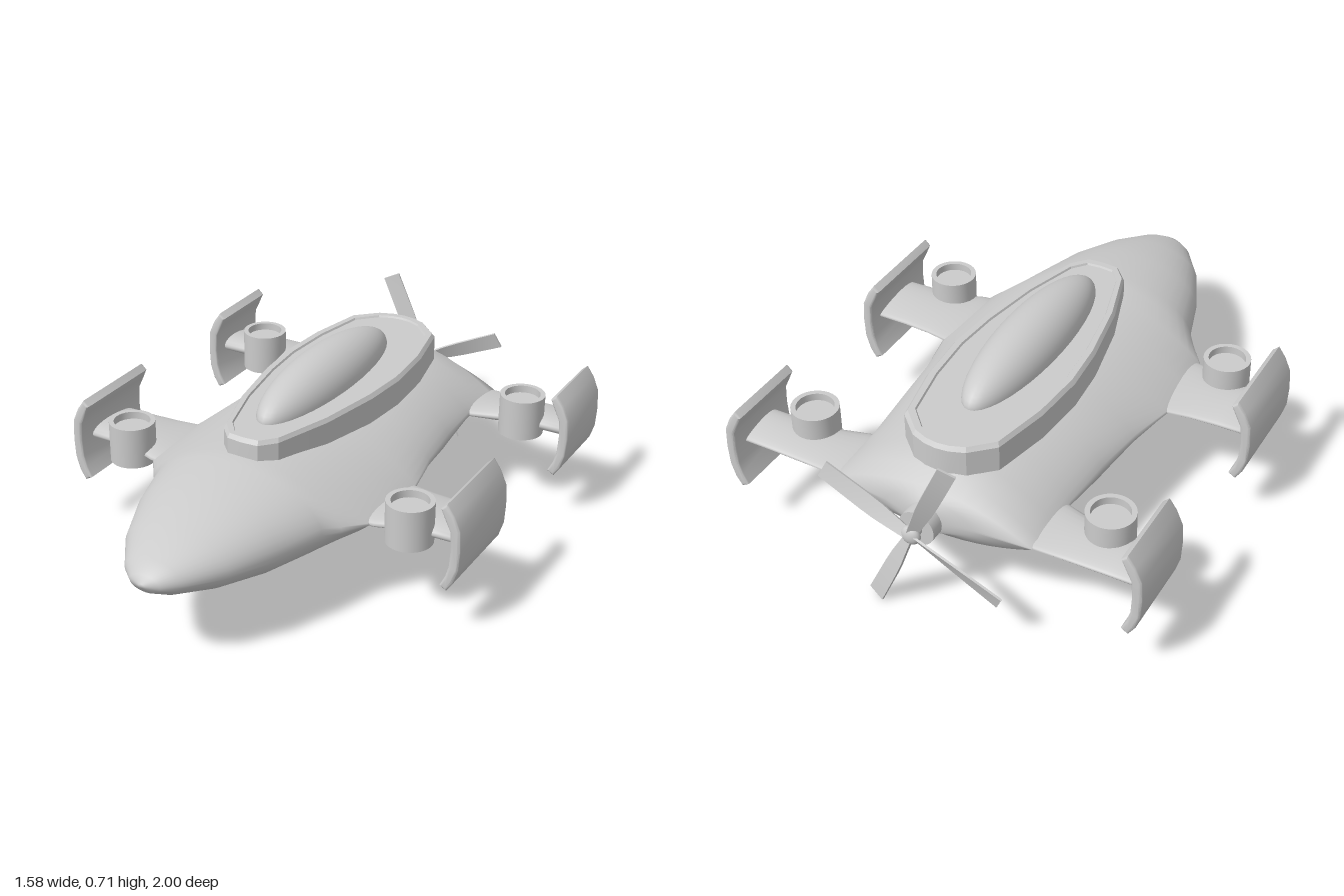
import * as THREE from 'three';
import { toCreasedNormals } from 'three/addons/utils/BufferGeometryUtils.js';

const material = new THREE.MeshStandardMaterial({ color: 0xcccccc });
const AXIS_Y = 0.345;

function add(parent, name, geometry, x = 0, y = 0, z = 0) {
  const mesh = new THREE.Mesh(geometry, material);
  mesh.name = name;
  mesh.position.set(x, y, z);
  parent.add(mesh);
  return mesh;
}

// Skin over closed rings of equal point count, with fan caps at both ends
function loft(rings) {
  const n = rings[0].length, pos = [], idx = [];
  rings.forEach(r => r.forEach(p => pos.push(...p)));
  for (let i = 0; i < rings.length - 1; i++) {
    for (let j = 0; j < n; j++) {
      const a = i * n + j, b = i * n + (j + 1) % n;
      idx.push(a, a + n, b, b, a + n, b + n);
    }
  }
  [rings[0], rings[rings.length - 1]].forEach((ring, end) => {
    const c = pos.length / 3, base = end ? (rings.length - 1) * n : 0;
    pos.push(...[0, 1, 2].map(k => ring.reduce((s, p) => s + p[k], 0) / n));
    for (let j = 0; j < n; j++) {
      const a = base + j, b = base + (j + 1) % n;
      idx.push(...(end ? [c, b, a] : [c, a, b]));
    }
  });
  const g = new THREE.BufferGeometry();
  g.setAttribute('position', new THREE.Float32BufferAttribute(pos, 3));
  g.setIndex(idx);
  g.computeVertexNormals();
  return g;
}

function ring(n, fn) {
  return Array.from({ length: n }, (_, j) => fn(j / n * Math.PI * 2));
}

// Hull stations: z, half width, top, bottom, side sharpness
const STATIONS = [
  [0.998, 0.012, 0.352, 0.338, 1], [0.98, 0.06, 0.377, 0.313, 1], [0.93, 0.115, 0.409, 0.285, 1],
  [0.8, 0.205, 0.455, 0.243, 1], [0.62, 0.285, 0.502, 0.203, 1], [0.44, 0.342, 0.526, 0.177, 1.05],
  [0.38, 0.385, 0.531, 0.169, 1.4], [0.3, 0.445, 0.532, 0.16, 1.9], [0.15, 0.458, 0.532, 0.145, 2],
  [-0.02, 0.462, 0.532, 0.135, 2], [-0.2, 0.425, 0.531, 0.13, 1.5], [-0.4, 0.403, 0.529, 0.135, 1.3],
  [-0.6, 0.387, 0.524, 0.152, 1.6], [-0.72, 0.39, 0.516, 0.18, 1.8], [-0.81, 0.39, 0.495, 0.222, 2],
  [-0.855, 0.38, 0.45, 0.265, 2], [-0.872, 0.17, 0.42, 0.285, 1.3], [-0.895, 0.065, 0.405, 0.295, 1],
];

function hullGeometry() {
  return loft(STATIONS.map(([z, w, top, bottom, p]) => ring(40, a => {
    const s = Math.sin(a);
    const h = s > 0 ? top - AXIS_Y : bottom - AXIS_Y;
    return [w * Math.cos(a), AXIS_Y + h * Math.abs(s) ** p, z];
  })));
}

// Raised deck: faceted egg outline, bevelled rim and shallow inner panel
function deckGeometry() {
  const half = [[0, 0.395], [0.06, 0.39], [0.11, 0.335], [0.18, 0.12], [0.225, -0.12], [0.24, -0.3],
    [0.225, -0.5], [0.18, -0.71], [0.1, -0.785], [0.045, -0.805], [0, -0.81]];
  const outline = [...half.slice().reverse(), ...half.slice(1, -1).map(([x, z]) => [-x, z])];
  const layers = [[0, 0.49], [0, 0.585], [0.011, 0.6], [0.034, 0.6], [0.038, 0.593]];
  const cz = -0.2075;
  return toCreasedNormals(loft(layers.map(([inset, y]) => outline.map(([x, z]) =>
    [x * (1 - inset / 0.24), y, cz + (z - cz) * (1 - inset / 0.6025)]))), 0.3);
}

// Stub wing: stations of x, front edge z, rear edge z, half thickness
function wingGeometry(stations) {
  return loft(stations.map(([x, front, back, t]) => ring(24, a => [
    x, AXIS_Y + t * Math.sin(a) * (0.75 + 0.25 * Math.cos(a)),
    (front + back) / 2 + (front - back) / 2 * Math.cos(a)])));
}

// Curved guard plate at the wing tip
function guardGeometry(back, front) {
  const bevel = 0.009;
  const outer = [[0.735, 0.506], [0.756, 0.475], [0.778, 0.425], [0.782, 0.35], [0.778, 0.28], [0.762, 0.228], [0.744, 0.2]];
  const inner = [[0.732, 0.207], [0.748, 0.24], [0.76, 0.285], [0.764, 0.35], [0.76, 0.42], [0.74, 0.462], [0.725, 0.496]];
  const shape = new THREE.Shape([...outer, ...inner].map(p => new THREE.Vector2(...p)));
  const g = new THREE.ExtrudeGeometry(shape, {
    depth: front - back - 2 * bevel, bevelSize: bevel, bevelThickness: bevel, bevelSegments: 3,
  });
  g.translate(0, 0, back + bevel);
  return toCreasedNormals(g, 0.7);
}

// Lift fan duct with a recessed top
function ductGeometry() {
  const profile = [[0, 0.298], [0.085, 0.298], [0.085, 0.453], [0.067, 0.453], [0.067, 0.425], [0, 0.425]];
  return toCreasedNormals(new THREE.LatheGeometry(profile.map(p => new THREE.Vector2(...p)), 32), 0.5);
}

// Propeller blade: pitched, slightly widening toward the tip
function bladeGeometry() {
  const g = new THREE.BoxGeometry(0.345, 0.064, 0.008, 6, 1, 1);
  g.translate(0.1875, 0, 0);
  const p = g.attributes.position;
  for (let i = 0; i < p.count; i++) {
    const x = p.getX(i), y = p.getY(i) * (0.55 + 0.45 * Math.min(1, x / 0.15));
    const pitch = 0.6 - 0.35 * Math.min(1, x / 0.36);
    const z = p.getZ(i);
    p.setY(i, y * Math.cos(pitch) - z * Math.sin(pitch));
    p.setZ(i, y * Math.sin(pitch) + z * Math.cos(pitch));
  }
  return toCreasedNormals(g, 0.5);
}

export function createModel() {
  const model = new THREE.Group();
  model.name = 'flyingCraft';

  add(model, 'hull', hullGeometry());
  add(model, 'deck', deckGeometry());

  // Canopy dome
  const dome = new THREE.SphereGeometry(1, 40, 14, 0, Math.PI * 2, 0, Math.PI / 2);
  dome.scale(0.122, 0.122, 0.43);
  add(model, 'canopy', dome, 0, 0.59, -0.17);

  // Wings, guards and ducts, mirrored to both sides
  const units = [
    { name: 'front', duct: 0.245, guard: [-0.06, 0.317],
      wing: [[0.36, 0.31, -0.03, 0.02], [0.46, 0.295, -0.02, 0.028], [0.54, 0.265, -0.007, 0.034], [0.64, 0.25, 0, 0.038], [0.77, 0.245, 0, 0.038]] },
    { name: 'rear', duct: -0.68, guard: [-0.907, -0.597],
      wing: [[0.3, -0.6, -0.85, 0.02], [0.39, -0.612, -0.852, 0.026], [0.5, -0.645, -0.848, 0.034], [0.64, -0.66, -0.845, 0.038], [0.77, -0.662, -0.845, 0.038]] },
  ];
  for (const side of [1, -1]) {
    const group = new THREE.Group();
    group.name = side > 0 ? 'leftWings' : 'rightWings';
    group.scale.x = side;
    for (const u of units) {
      add(group, u.name + 'Wing', wingGeometry(u.wing));
      add(group, u.name + 'Guard', guardGeometry(...u.guard));
      add(group, u.name + 'Duct', ductGeometry(), 0.57, 0, u.duct);
    }
    model.add(group);
  }

  // Rear propeller
  const propeller = new THREE.Group();
  propeller.name = 'propeller';
  propeller.position.set(0, AXIS_Y, 0);
  const drum = (r, from, to) => new THREE.CylinderGeometry(r, r, from - to, 28)
    .rotateX(Math.PI / 2).translate(0, 0, (from + to) / 2);
  add(propeller, 'motor', drum(0.066, -0.85, -0.945));
  add(propeller, 'shaft', drum(0.022, -0.94, -0.985));
  const hub = new THREE.SphereGeometry(0.036, 20, 14);
  hub.scale(1, 1, 0.6);
  add(propeller, 'hub', hub, 0, 0, -0.978);
  for (let i = 0; i < 4; i++) {
    add(propeller, 'blade', bladeGeometry(), 0, 0, -0.982).rotation.z = THREE.MathUtils.degToRad(25 + 90 * i);
  }
  model.add(propeller);
  return model;
}
